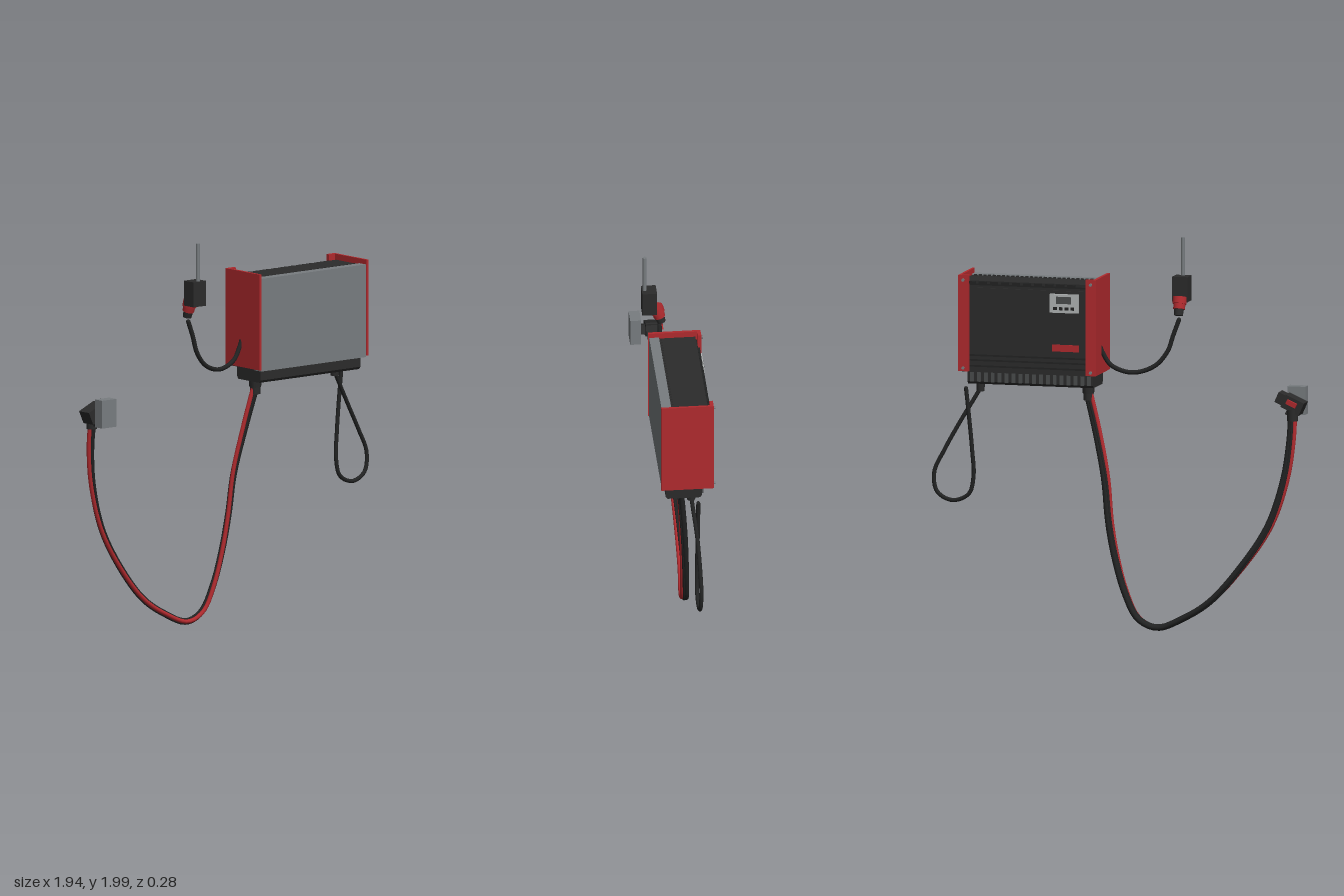
import * as THREE from 'three';

const mat = (name, color) => {
  const m = new THREE.MeshStandardMaterial({ color });
  m.name = name;
  return m;
};

export function createModel() {
  const root = new THREE.Group();
  root.name = 'wallCharger';
  const red = mat('red', 0xb02a2e);
  const dark = mat('dark housing', 0x2b2b2b);
  const black = mat('cable black', 0x222323);
  const gray = mat('plate gray', 0x787d80);
  const light = mat('display gray', 0xb0b4b4);
  const fin = mat('fin gray', 0x4a4c4d);

  const add = (name, geo, material, x = 0, y = 0, z = 0, parent = root) => {
    const m = new THREE.Mesh(geo, material);
    m.name = name;
    m.position.set(x, y, z);
    parent.add(m);
    return m;
  };
  // Box given by its limits on each axis
  const box = (name, material, x0, x1, y0, y1, z0, z1, parent = root) =>
    add(name, new THREE.BoxGeometry(x1 - x0, y1 - y0, z1 - z0), material,
      (x0 + x1) / 2, (y0 + y1) / 2, (z0 + z1) / 2, parent);
  const cyl = (name, material, r0, r1, h, x, y, z, parent = root, sides = 16) =>
    add(name, new THREE.CylinderGeometry(r0, r1, h, sides), material, x, y, z, parent);
  const curve = pts => new THREE.CatmullRomCurve3(pts.map(p => new THREE.Vector3(...p)));

  // Closed rounded ends for every cable
  const cable = (name, path, r, material, parent = root) => {
    const g = new THREE.Group();
    g.name = name;
    parent.add(g);
    add(name + 'Sheath', new THREE.TubeGeometry(path, 100, r, 10), material, 0, 0, 0, g);
    for (const u of [0, 1]) {
      const p = path.getPoint(u);
      add(name + 'End', new THREE.SphereGeometry(r, 10, 6), material, p.x, p.y, p.z, g);
    }
  };

  // Housing and mounting plate
  const body = new THREE.Group();
  body.name = 'housing';
  root.add(body);
  box('backPlate', gray, 0.1, 0.795, 1.3, 1.776, 0.085, 0.135, body);
  box('mainBody', dark, 0.1, 0.795, 1.302, 1.77, -0.1, 0.085, body);
  box('doorPanel', dark, 0.145, 0.75, 1.405, 1.735, -0.107, -0.1, body);
  box('upperTrim', black, 0.1, 0.795, 1.748, 1.756, -0.106, -0.1, body);
  for (const y of [1.33, 1.36, 1.385])
    box('lowerRidge', black, 0.1, 0.795, y, y + 0.009, -0.107, -0.1, body);
  for (let i = 0; i < 10; i++) {
    const x = 0.2 + i * 0.058;
    box('topLouvre', black, x, x + 0.04, 1.755, 1.768, -0.113, -0.1, body);
  }
  for (let i = 0; i < 28; i++) {
    const x = 0.108 + i * 0.0244;
    box('topTooth', dark, x, x + 0.013, 1.768, 1.776, 0.072, 0.085, body);
  }

  // Side panels with inward lips and screws
  for (const [x0, x1, l0, l1] of [[0.085, 0.1, 0.085, 0.138], [0.795, 0.808, 0.755, 0.808]]) {
    box('sidePanel', red, x0, x1, 1.308, 1.8, -0.125, 0.14, body);
    box('sideLip', red, l0, l1, 1.308, 1.8, -0.127, -0.108, body);
    for (const y of [1.325, 1.775]) {
      const s = cyl('screw', gray, 0.008, 0.008, 0.012, (l0 + l1) / 2, y, -0.131, body, 12);
      s.rotation.x = Math.PI / 2;
    }
  }

  // Display unit and label on the door
  const display = new THREE.Group();
  display.name = 'display';
  root.add(display);
  box('displayFrame', light, 0.18, 0.33, 1.625, 1.72, -0.125, -0.105, display);
  box('screen', fin, 0.215, 0.295, 1.672, 1.708, -0.128, -0.124, display);
  for (let i = 0; i < 4; i++)
    box('button', black, 0.2 + i * 0.03, 0.218 + i * 0.03, 1.64, 1.655, -0.13, -0.124, display);
  box('redLabel', red, 0.18, 0.32, 1.425, 1.46, -0.112, -0.106, body);

  // Base with ventilation fins
  const base = new THREE.Group();
  base.name = 'base';
  root.add(base);
  const outline = new THREE.Shape([[-0.07, 1.303], [-0.07, 1.25], [-0.06, 1.237], [0.105, 1.237], [0.115, 1.25], [0.115, 1.303]]
    .map(([z, y]) => new THREE.Vector2(-z, y)));
  const baseGeo = new THREE.ExtrudeGeometry(outline, { depth: 0.66, bevelEnabled: false });
  baseGeo.rotateY(Math.PI / 2);
  add('baseBox', baseGeo, dark, 0.115, 0, 0, base);
  for (let i = 0; i < 18; i++) {
    const x = 0.125 + i * 0.0362;
    box('ventFin', fin, x, x + 0.018, 1.25, 1.302, -0.08, -0.069, base);
  }
  cyl('mainGland', dark, 0.034, 0.03, 0.04, 0.163, 1.22, 0.015, base, 8);
  cyl('mainGlandNut', dark, 0.026, 0.026, 0.04, 0.163, 1.185, 0.015, base, 8);
  cyl('smallGland', dark, 0.023, 0.021, 0.045, 0.72, 1.217, -0.02, base, 8);

  // Charging cable: strands that slowly twist around one path
  const path = curve([[0.163, 1.2, 0.015], [0.11, 1.0, -0.005], [0.06, 0.77, -0.03], [0.035, 0.55, -0.045],
    [0, 0.37, -0.053], [-0.055, 0.19, -0.06], [-0.12, 0.07, -0.065], [-0.22, 0.026, -0.068],
    [-0.36, 0.08, -0.077], [-0.5, 0.17, -0.078], [-0.65, 0.335, -0.068], [-0.8, 0.56, -0.045],
    [-0.88, 0.8, -0.028], [-0.908, 1.0, -0.01], [-0.912, 1.15, 0.01]]);
  const strand = (phase, offset) => {
    const pts = [];
    for (let i = 0; i <= 60; i++) {
      const u = i / 60, p = path.getPointAt(u), t = path.getTangentAt(u);
      const a = phase + Math.PI * u;
      const n = new THREE.Vector3(t.y, -t.x, 0).normalize();
      pts.push(p.addScaledVector(n, Math.cos(a) * offset).add(new THREE.Vector3(0, 0, Math.sin(a) * offset)));
    }
    return new THREE.CatmullRomCurve3(pts);
  };
  const charging = new THREE.Group();
  charging.name = 'chargingCable';
  root.add(charging);
  cable('redStrand', strand(0, 0.013), 0.011, red, charging);
  cable('blackStrand', strand(Math.PI, 0.009), 0.0145, black, charging);
  cable('signalStrandA', strand(Math.PI / 2, 0.01), 0.007, black, charging);
  cable('signalStrandB', strand(-Math.PI / 2, 0.01), 0.007, black, charging);

  // Charging connector in its wall holder
  box('connectorHolder', gray, -0.957, -0.863, 1.122, 1.265, 0.085, 0.14);
  const connector = new THREE.Group();
  connector.name = 'chargingConnector';
  connector.position.set(-0.895, 1.193, 0.022);
  connector.rotation.z = 0.42;
  root.add(connector);
  box('connectorBody', dark, -0.075, 0.03, -0.035, 0.035, -0.038, 0.04, connector);
  box('connectorNose', dark, 0.03, 0.07, -0.028, 0.028, -0.03, 0.04, connector);
  box('connectorHandle', dark, -0.055, -0.005, -0.06, -0.03, -0.03, 0.025, connector);
  box('redLatch', red, -0.045, 0.01, -0.006, 0.018, -0.052, -0.037, connector);
  box('holderLink', dark, -0.03, 0.02, -0.025, 0.025, 0.04, 0.066, connector);
  cyl('cableBoot', dark, 0.03, 0.027, 0.06, -0.912, 1.13, 0.006);

  // Mains cable to the socket
  cable('mainsCable', curve([[0.1, 1.46, -0.012], [0.082, 1.415, -0.01], [0.035, 1.348, -0.003], [-0.07, 1.315, 0.012],
    [-0.18, 1.35, 0.03], [-0.245, 1.425, 0.04], [-0.275, 1.51, 0.044], [-0.305, 1.59, 0.044]]), 0.0115, black);
  const socket = new THREE.Group();
  socket.name = 'mainsSocket';
  root.add(socket);
  box('socketBox', dark, -0.346, -0.264, 1.678, 1.806, 0.06, 0.135, socket);
  cyl('conduit', gray, 0.01, 0.01, 0.2, -0.305, 1.9, 0.12, socket);
  const plug = new THREE.Group();
  plug.name = 'mainsPlug';
  plug.position.set(-0.305, 1.675, 0.054);
  plug.rotation.x = 0.3;
  socket.add(plug);
  cyl('plugCollar', red, 0.036, 0.036, 0.035, 0, 0.012, 0, plug);
  cyl('plugBody', red, 0.031, 0.03, 0.03, 0, -0.018, 0, plug);
  cyl('plugBoot', dark, 0.025, 0.022, 0.035, 0, -0.048, 0, plug);

  // Spare cable hanging in a loop
  cable('loopCable', curve([[0.72, 1.21, -0.02], [0.755, 1.15, -0.027], [0.82, 1.04, -0.04], [0.9, 0.895, -0.048], [0.955, 0.775, -0.05],
    [0.94, 0.675, -0.047], [0.86, 0.634, -0.045], [0.775, 0.67, -0.045], [0.75, 0.76, -0.046],
    [0.757, 0.9, -0.048], [0.774, 1.08, -0.05], [0.788, 1.21, -0.05]]), 0.0105, black);

  return root;
}
